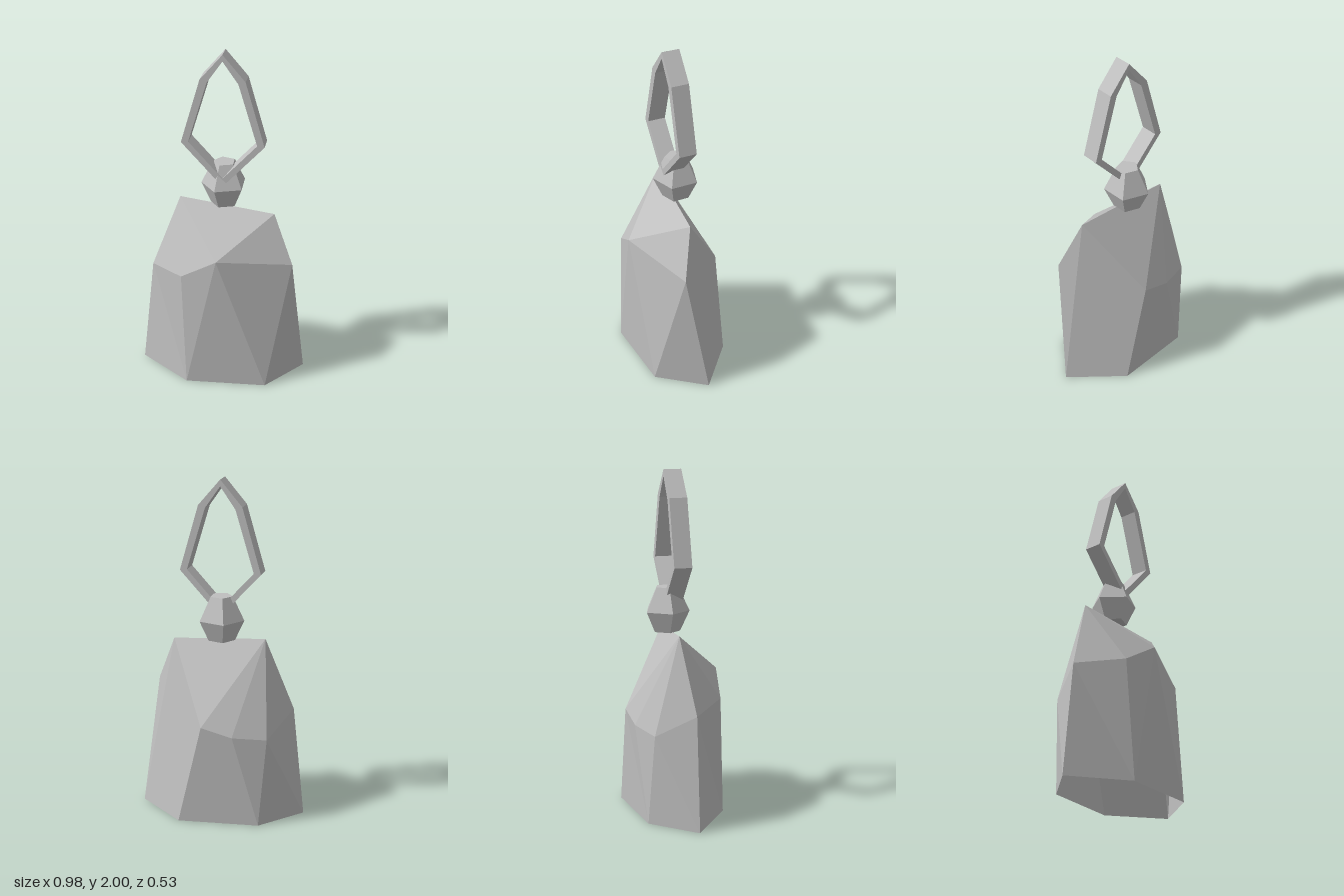
import * as THREE from 'three';

export function createModel() {
  const group = new THREE.Group();
  const grey = new THREE.MeshStandardMaterial({ color: 0xbfbfbf, flatShading: true, side: THREE.DoubleSide });
  grey.name = 'plain grey';

  const add = (name, geometry) => {
    const mesh = new THREE.Mesh(geometry, grey);
    mesh.name = name;
    group.add(mesh);
    return mesh;
  };

  // Faceted rock weight, open underneath: foot ring, shoulder ring and a two-point ridge
  const v = {
    w: [-0.49, 0, 0.03], l: [-0.18, 0, 0.26], m: [0.29, 0, 0.23],
    r: [0.49, 0, -0.035], p: [0.2, 0, -0.27], q: [-0.27, 0, -0.215],
    A: [-0.42, 0.66, 0.03], B: [-0.21, 0.7, 0.23], C: [0, 0.83, 0.265], D: [0.42, 0.76, 0.09],
    E: [0.06, 0.6, -0.27], F: [-0.12, 0.55, -0.255], G: [-0.31, 0.53, -0.185],
    S: [-0.26, 1.09, -0.03], T: [0.3, 1.04, 0.01],
  };
  const faces = 'STC TCD SBC SAB wlA lBA lCB lmC mDC mrD TDr Trp TpE STE SEF SFG SGA pqE qFE qGF qwG wAG';
  const centre = new THREE.Vector3(0, 0.5, 0);
  const points = [];
  for (const face of faces.split(' ')) {
    const [a, b, c] = [...face].map((k) => new THREE.Vector3(...v[k]));
    // Turn every face outward
    const normal = b.clone().sub(a).cross(c.clone().sub(a));
    const outward = normal.dot(a.clone().sub(centre)) > 0;
    points.push(...(outward ? [a, b, c] : [a, c, b]));
  }
  const rock = new THREE.BufferGeometry().setFromPoints(points);
  rock.computeVertexNormals();
  add('rockBody', rock);

  // Five-sided knob resting on the ridge
  const profile = [[0, 1.07], [0.08, 1.07], [0.135, 1.19], [0.067, 1.33], [0, 1.33]];
  const knob = new THREE.LatheGeometry(profile.map(([x, y]) => new THREE.Vector2(x, y)), 5, 3.49);
  add('knob', knob).position.z = -0.037;

  // Flat angular loop threaded through the knob
  const outline = (target, top, upper, side, bottom) => {
    target.setFromPoints([
      [0.003, top], [upper[0], upper[1]], [side[0], side[1]], [0.003, bottom],
      [-side[0] + 0.007, side[1]], [-upper[0] + 0.007, upper[1]],
    ].map(([x, y]) => new THREE.Vector2(x, y)));
    target.closePath();
    return target;
  };
  const loop = outline(new THREE.Shape(), 2, [0.132, 1.85], [0.242, 1.47], 1.21);
  loop.holes.push(outline(new THREE.Path(), 1.962, [0.092, 1.835], [0.2, 1.475], 1.26));
  const loopGeometry = new THREE.ExtrudeGeometry(loop, { depth: 0.104, bevelEnabled: false });
  add('hangingLoop', loopGeometry).position.z = -0.052;

  return group;
}
